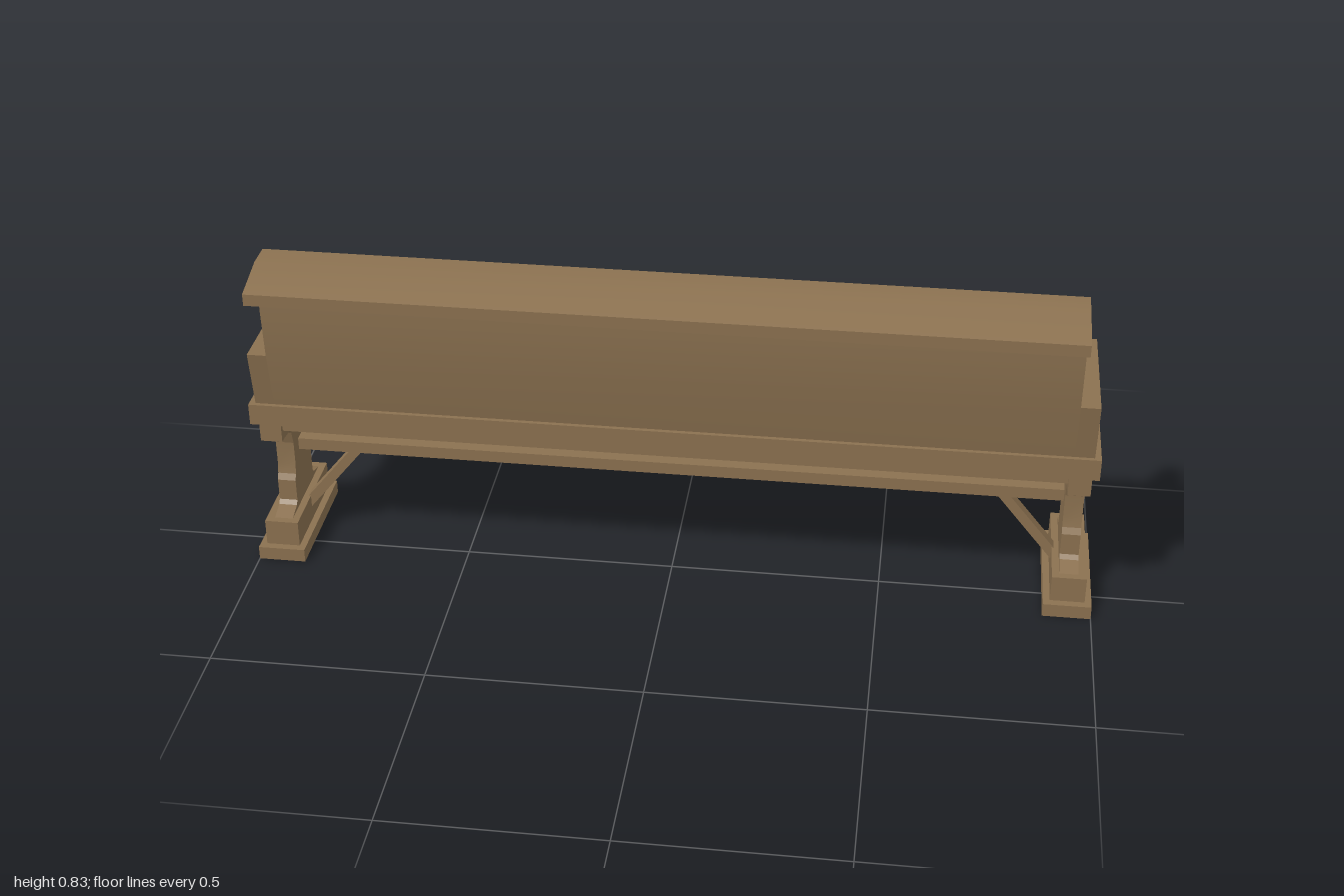
import * as THREE from 'three';
import { toCreasedNormals } from 'three/addons/utils/BufferGeometryUtils.js';

const wood = new THREE.MeshStandardMaterial({ color: 0x8b7150 });

// Box given by its limits on each axis
function box(name, [x0, x1], [y0, y1], [z0, z1]) {
  const mesh = new THREE.Mesh(new THREE.BoxGeometry(x1 - x0, y1 - y0, z1 - z0), wood);
  mesh.position.set((x0 + x1) / 2, (y0 + y1) / 2, (z0 + z1) / 2);
  mesh.name = name;
  return mesh;
}

// Side profile of [z, y] points, extruded along x from x0 to x1
function profile(name, points, x0, x1) {
  const shape = new THREE.Shape(points.map(([z, y]) => new THREE.Vector2(z, y)));
  const geo = new THREE.ExtrudeGeometry(shape, { depth: x1 - x0, bevelEnabled: false });
  geo.rotateY(-Math.PI / 2).translate(x1, 0, 0);
  const mesh = new THREE.Mesh(toCreasedNormals(geo, 0.25), wood);
  mesh.name = name;
  return mesh;
}

export function createModel() {
  const bench = new THREE.Group();
  bench.name = 'bench';
  const mid = -0.066; // centre line of the legs in z

  // Seat plank, rail beneath it and long stretcher between the legs
  bench.add(box('seat', [-0.985, 0.985], [0.387, 0.44], [-0.232, 0.1]));
  bench.add(box('seatRail', [-0.92, 0.92], [0.355, 0.387], [-0.2, 0.068]));
  bench.add(box('stretcher', [-0.92, 0.92], [0.235, 0.265], [mid - 0.02, mid + 0.02]));

  // Curved backrest with the sloping ledge behind it
  bench.add(profile('backrest', [
    [0.03, 0.44], [0.09, 0.44], [0.115, 0.583], [0.125, 0.7], [0.125, 0.805],
    [0.232, 0.775], [0.232, 0.803], [0.125, 0.83], [0.06, 0.83], [0.06, 0.75],
    [0.067, 0.69], [0.066, 0.64], [0.06, 0.583], [0.048, 0.51],
  ], -0.925, 0.925));

  // Half widths of the leg by height, mirrored about its centre line
  const legHalf = [
    [0.121, 0.098], [0.079, 0.11], [0.071, 0.12], [0.071, 0.175], [0.063, 0.19],
    [0.058, 0.215], [0.058, 0.275], [0.068, 0.31], [0.08, 0.32], [0.146, 0.332],
  ];
  const legOutline = [
    ...legHalf.map(([w, y]) => [mid + w, y]),
    ...legHalf.map(([w, y]) => [mid - w, y]).reverse(),
  ];

  for (const side of [-1, 1]) {
    const end = new THREE.Group();
    end.name = side > 0 ? 'leftEnd' : 'rightEnd';
    const span = (a, b) => (side > 0 ? [a, b] : [-b, -a]);

    // Stepped foot, shaped leg and cap under the seat
    end.add(box('foot', span(0.887, 1), [0, 0.033], [-0.225, 0.092]));
    end.add(box('plinth', span(0.903, 0.984), [0.033, 0.098], [-0.205, 0.073]));
    end.add(profile('leg', legOutline, ...span(0.92, 0.964)));
    end.add(box('legCap', span(0.918, 0.97), [0.331, 0.387], [-0.212, 0.08]));

    // Solid armrest panel, leaning with the backrest
    end.add(profile('armrest', [
      [-0.207, 0.44], [0.09, 0.44], [0.115, 0.583], [-0.207, 0.583],
    ], ...span(0.925, 0.97)));

    // Diagonal brace from the leg to the stretcher
    const brace = new THREE.Shape([
      [0.762, 0.24], [0.792, 0.24], [0.925, 0.078], [0.925, 0.04],
    ].map(([x, y]) => new THREE.Vector2(side * x, y)));
    const braceGeo = new THREE.ExtrudeGeometry(brace, { depth: 0.03, bevelEnabled: false });
    const braceMesh = new THREE.Mesh(braceGeo, wood);
    braceMesh.position.z = mid - 0.015;
    braceMesh.name = 'brace';
    end.add(braceMesh);

    bench.add(end);
  }
  return bench;
}
